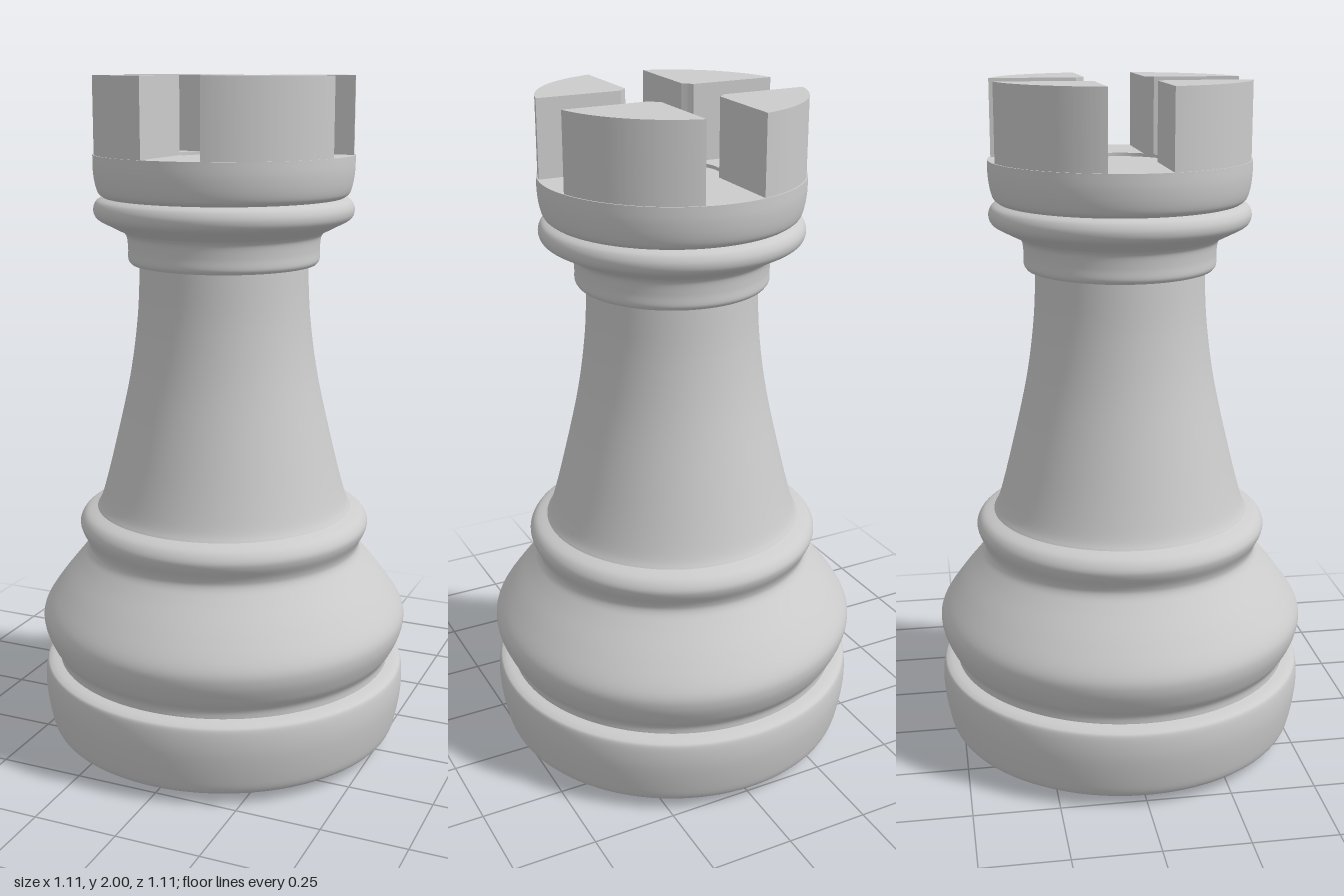
import * as THREE from 'three';
import { toCreasedNormals } from 'three/addons/utils/BufferGeometryUtils.js';

const SEGMENTS = 96;
const FLOOR = 1.78;      // height of the notch floors
const TOP = 2;
const SLOT = 0.088;      // half width of the notches
const WELL = 0.143;      // radius of the central recess
const CROWN = 0.374;     // outer radius of the battlements

export function createModel() {
  const group = new THREE.Group();
  const material = new THREE.MeshStandardMaterial({ color: 0xcccccc });

  function add(name, geometry) {
    const mesh = new THREE.Mesh(geometry, material);
    mesh.name = name;
    group.add(mesh);
    return mesh;
  }

  // Turned section: a smooth curve through [radius, height] points
  function turned(name, points, divisions = points.length * 5) {
    const curve = new THREE.SplineCurve(points.map(([r, y]) => new THREE.Vector2(r, y)));
    return add(name, new THREE.LatheGeometry(curve.getPoints(divisions), SEGMENTS));
  }

  // Base and foot
  turned('underside', [[0, 0], [0.25, 0.005], [0.41, 0.014], [0.5, 0.024]]);
  turned('base', [[0.5, 0.024], [0.53, 0.04], [0.545, 0.09], [0.556, 0.17], [0.553, 0.232], [0.54, 0.248], [0.51, 0.256]]);
  turned('foot', [[0.51, 0.256], [0.513, 0.28], [0.535, 0.315], [0.555, 0.37], [0.55, 0.42],
    [0.5, 0.495], [0.44, 0.57], [0.416, 0.605], [0.417, 0.63], [0.434, 0.665], [0.437, 0.69], [0.42, 0.715], [0.385, 0.73]]);

  // Tapering stem and collars
  turned('stem', [[0.385, 0.73], [0.367, 0.77], [0.33, 0.91], [0.28, 1.13], [0.255, 1.31], [0.247, 1.465]]);
  turned('neckLedge', [[0.247, 1.465], [0.272, 1.467]], 1);
  turned('neckRing', [[0.272, 1.467], [0.28, 1.48], [0.28, 1.51], [0.284, 1.545], [0.295, 1.56]]);
  turned('collar', [[0.295, 1.56], [0.335, 1.58], [0.37, 1.6], [0.379, 1.625], [0.37, 1.648], [0.35, 1.66]]);

  // Crown drum, notch floor and shallow central recess
  turned('crownDrum', [[0.35, 1.66], [0.364, 1.672], [0.373, 1.7], [0.378, 1.74], [0.378, FLOOR]]);
  turned('notchFloor', [[0.378, FLOOR], [WELL, FLOOR]], 1);
  turned('recessWall', [[WELL, FLOOR], [WELL, FLOOR - 0.01]], 1);
  turned('recessFloor', [[WELL, FLOOR - 0.01], [0, FLOOR - 0.01]], 1);

  // Four battlements between the crossing notches
  const outer = Math.asin(SLOT / CROWN);
  const inner = Math.asin(SLOT / WELL);
  const shape = new THREE.Shape();
  shape.absarc(0, 0, CROWN, outer, Math.PI / 2 - outer, false);
  shape.absarc(0, 0, WELL, Math.PI / 2 - inner, inner, true);
  shape.closePath();
  const extruded = new THREE.ExtrudeGeometry(shape, { depth: TOP - FLOOR, bevelEnabled: false, curveSegments: 24 });
  extruded.rotateX(-Math.PI / 2).translate(0, FLOOR, 0);
  const battlement = toCreasedNormals(extruded, 0.5);
  for (let i = 0; i < 4; i++) {
    add('battlement' + (i + 1), battlement).rotation.y = i * Math.PI / 2;
  }
  return group;
}
